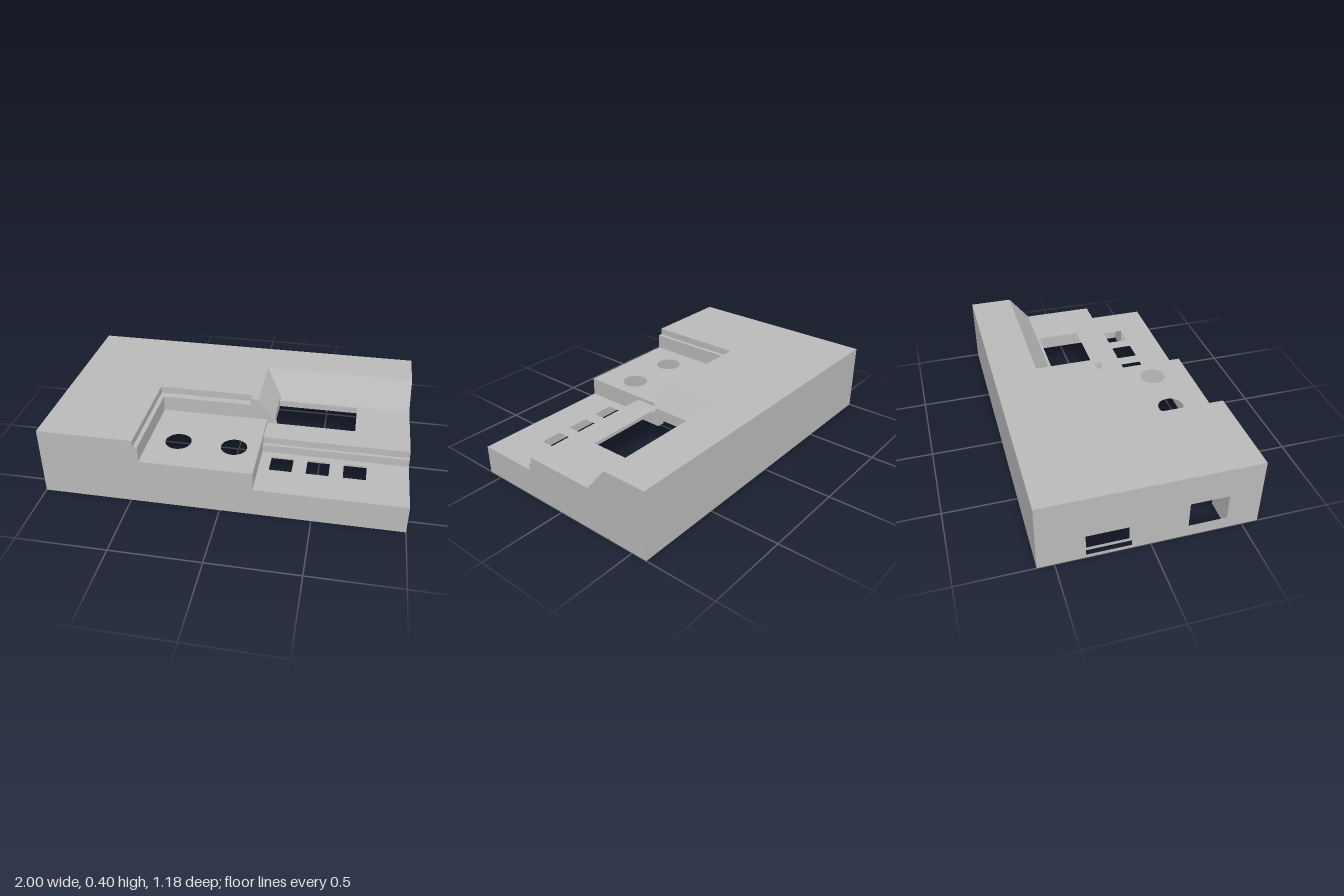
import * as THREE from 'three';

const T = 0.045; // shell thickness

// Corner points of a rectangle
const rect = (a0, b0, a1, b1) => [[a0, b0], [a1, b0], [a1, b1], [a0, b1]];

// Extruded shape from corner points; holes are point lists or circles {c, r}
function extrude(points, holes, depth) {
  const shape = new THREE.Shape(points.map(p => new THREE.Vector2(p[0], p[1])));
  for (const h of holes) {
    const path = new THREE.Path();
    if (h.r) path.absarc(h.c[0], h.c[1], h.r, 0, Math.PI * 2, true);
    else path.setFromPoints([...h, h[0]].map(p => new THREE.Vector2(p[0], p[1])));
    shape.holes.push(path);
  }
  return new THREE.ExtrudeGeometry(shape, { depth, bevelEnabled: false, curveSegments: 20 });
}

const flip = (h, f) => (h.r ? { c: f(h.c), r: h.r } : h.map(f));

// Plan outline (x, z) raised from y0 to y1
function slab(points, y0, y1, holes = []) {
  const f = p => [p[0], -p[1]];
  return extrude(points.map(f), holes.map(h => flip(h, f)), y1 - y0)
    .rotateX(-Math.PI / 2).translate(0, y0, 0);
}

// Side profile (z, y) extended from x0 to x1
function sideways(points, x0, x1, holes = []) {
  const f = p => [-p[0], p[1]];
  return extrude(points.map(f), holes.map(h => flip(h, f)), x1 - x0)
    .rotateY(Math.PI / 2).translate(x0, 0, 0);
}

// Front profile (x, y) extended from z0 to z1
const forward = (points, z0, z1) => extrude(points, [], z1 - z0).translate(0, 0, z0);

export function createModel() {
  const group = new THREE.Group();
  const grey = new THREE.MeshStandardMaterial({ color: 0xb9b9b9 });
  grey.name = 'plain grey';
  const add = (name, geometry) => {
    const mesh = new THREE.Mesh(geometry, grey);
    mesh.name = name;
    group.add(mesh);
  };

  // Raised deck around the back and left
  add('topDeck', slab([
    [-1, -0.59], [1, -0.59], [1, -0.335], [0.125, -0.335],
    [0.125, 0.01], [-0.465, 0.01], [-0.465, 0.59], [-1, 0.59],
  ], 0.355, 0.4));

  // Stepped ledge and walls of the knob recess
  add('recessLedge', slab([
    [-0.465, 0.59], [-0.465, 0.01], [0.125, 0.01],
    [0.125, 0.055], [-0.44, 0.055], [-0.44, 0.59],
  ], 0.225, 0.36));

  // Recess floor with two round openings
  add('knobPanel', slab(rect(-0.44, 0.055, 0.18, 0.59), 0.225, 0.27,
    [-0.275, 0.04].map(x => ({ c: [x, 0.365], r: 0.073 }))));
  add('knobPanelSide', slab(rect(0.18 - T, 0.055, 0.18, 0.59), 0.125, 0.255));

  // Display floor with window
  add('displayPanel', slab(rect(0.18, -0.215, 1, 0.21), 0.205, 0.25,
    [rect(0.22, -0.2, 0.69, 0.055)]));

  // Sloped surrounds of the display
  add('leftSlope', forward([
    [0.125, 0.4], [0.22, 0.27], [0.22, 0.205], [0.18, 0.205], [0.08, 0.36], [0.08, 0.4],
  ], -0.335, 0.055));
  add('slopeEnd', forward([[0.125, 0.4], [0.235, 0.25], [0.235, 0.205], [0.125, 0.205]], 0.035, 0.055));
  add('backSlope', sideways([
    [-0.335, 0.4], [-0.215, 0.25], [-0.215, 0.205], [-0.25, 0.205], [-0.38, 0.36], [-0.38, 0.4],
  ], 0.125, 1));

  // Step down to the button floor
  add('buttonStep', sideways([
    [0.21, 0.25], [0.21, 0.21], [0.23, 0.21], [0.23, 0.125], [0.18, 0.125], [0.18, 0.25],
  ], 0.18, 1));

  // Button floor with three square openings
  add('buttonPanel', slab(rect(0.18, 0.21, 1, 0.59), 0.125, 0.165,
    [0.24, 0.443, 0.645].map(x => rect(x, 0.27, x + 0.125, 0.395))));

  // Outer walls
  add('backWall', forward(rect(-1, 0, 1, 0.4), -0.59, -0.59 + T));
  add('frontWall', forward([
    [-1, 0], [1, 0], [1, 0.165], [0.18, 0.165], [0.18, 0.27], [-0.44, 0.27],
    [-0.44, 0.36], [-0.465, 0.36], [-0.465, 0.4], [-1, 0.4],
  ], 0.59 - T, 0.59));
  const ports = [rect(-0.34, 0.02, -0.1, 0.15), rect(0.2, 0.07, 0.42, 0.22)];
  add('leftWall', sideways(rect(-0.59, 0, 0.59, 0.4), -1, -1 + T, ports));

  // Right wall with a narrow slot and a small triangular hole
  add('rightWall', sideways([
    [-0.59, 0], [-0.343, 0], [-0.343, 0.355], [-0.337, 0.355], [-0.337, 0],
    [0.59, 0], [0.59, 0.165], [0.23, 0.165], [0.23, 0.21], [0.21, 0.21],
    [0.21, 0.25], [-0.215, 0.25], [-0.335, 0.4], [-0.59, 0.4],
  ], 1 - T, 1, [[[-0.28, 0.255], [-0.262, 0.255], [-0.28, 0.275]]]));

  // Housing behind the rear port
  add('portHousing', sideways(rect(-0.38, 0, -0.06, 0.28), -1 + T, -0.81, [ports[0]]));

  // Corner posts with screw holes
  for (const sx of [-1, 1]) for (const sz of [-1, 1]) {
    const x = sx * 0.91, z = sz * 0.5;
    const top = sx > 0 && sz > 0 ? 0.13 : 0.36;
    add('cornerPost', slab(rect(x - 0.088, z - 0.088, x + 0.088, z + 0.088), 0, top,
      [{ c: [sx * 0.9, sz * 0.49], r: 0.017 }]));
  }
  return group;
}
